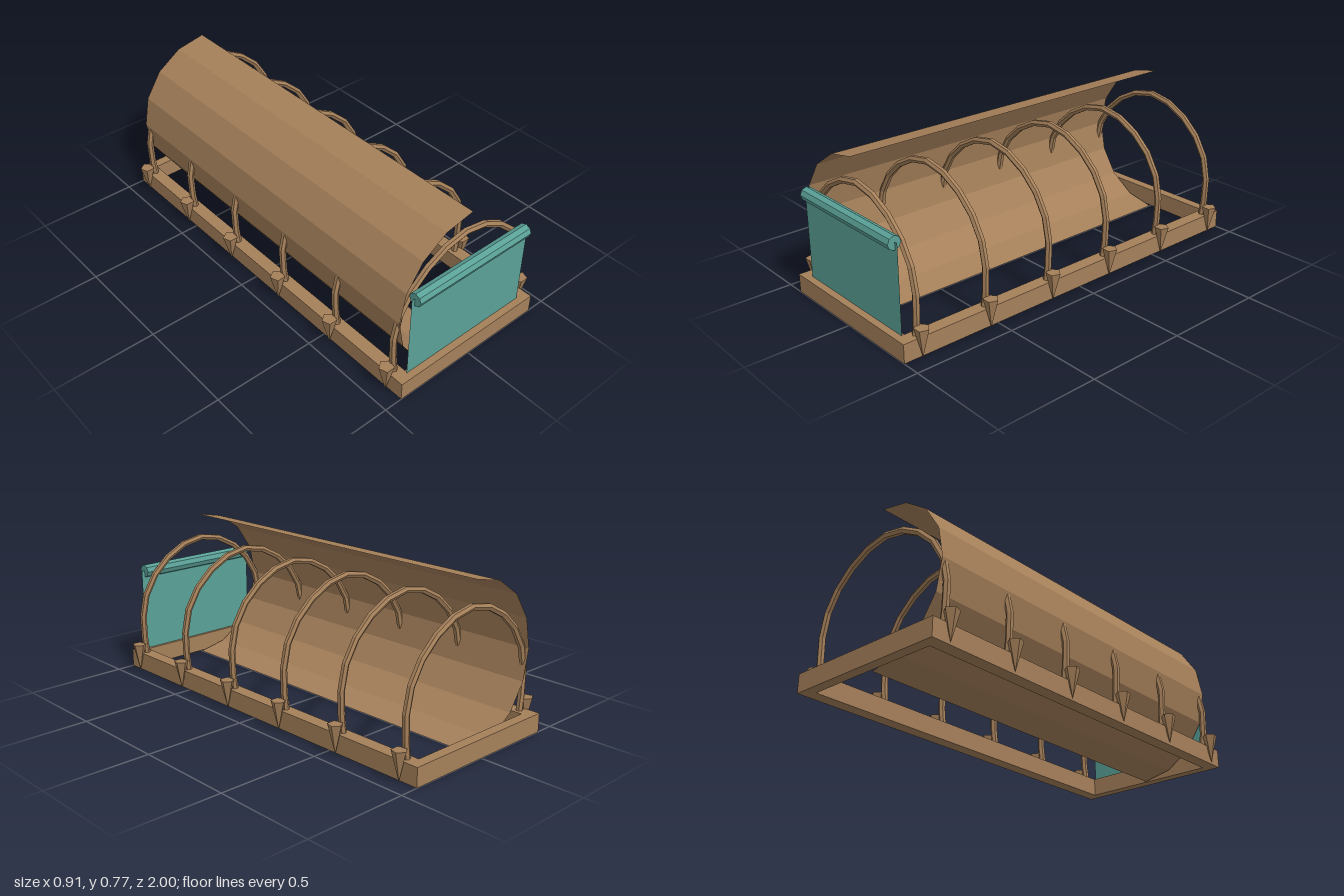
import * as THREE from 'three';

const wood = new THREE.MeshStandardMaterial({ color: 0xa5805a, flatShading: true });
const canvas = new THREE.MeshStandardMaterial({ color: 0xa5805a, flatShading: true, side: THREE.DoubleSide });
const teal = new THREE.MeshStandardMaterial({ color: 0x5aa197, flatShading: true, side: THREE.DoubleSide });

function add(parent, name, geometry, material, x = 0, y = 0, z = 0) {
  const mesh = new THREE.Mesh(geometry, material);
  mesh.name = name;
  mesh.position.set(x, y, z);
  parent.add(mesh);
  return mesh;
}

export function createModel() {
  const model = new THREE.Group();
  model.name = 'hoopTunnel';

  // Base frame: rectangle with a cut-out, laid flat
  const outline = new THREE.Shape();
  outline.moveTo(-0.41, -1).lineTo(0.41, -1).lineTo(0.41, 1).lineTo(-0.41, 1).closePath();
  const opening = new THREE.Path();
  opening.moveTo(-0.345, -0.95).lineTo(-0.345, 0.95).lineTo(0.345, 0.95).lineTo(0.345, -0.95).closePath();
  outline.holes.push(opening);
  const frame = new THREE.ExtrudeGeometry(outline, { depth: 0.09, bevelEnabled: false });
  frame.rotateX(-Math.PI / 2);
  add(model, 'baseFrame', frame, wood);

  // Hoops, each held by a pointed stake on either side
  const half = [[0.372, 0.05], [0.386, 0.17], [0.388, 0.288], [0.36, 0.405], [0.295, 0.505], [0.212, 0.577], [0.113, 0.628]];
  const mirrored = half.map(([x, y]) => [-x, y]).reverse();
  const points = [...half, [0, 0.649], ...mirrored].map(([x, y]) => new THREE.Vector3(x, y, 0));
  const hoop = new THREE.TubeGeometry(new THREE.CatmullRomCurve3(points), 14, 0.0165, 6);
  const stake = new THREE.ConeGeometry(0.036, 0.14, 5);
  stake.rotateX(Math.PI);
  for (let i = 0; i < 6; i++) {
    const z = 0.914 - i * 0.3656;
    add(model, 'hoop', hoop, wood, 0, 0, z);
    for (const side of [-1, 1]) add(model, 'stake', stake, wood, side * 0.422, 0.072, z);
  }

  // Cover: half cylinder over the right side, open towards the left
  const cover = new THREE.CylinderGeometry(0.385, 0.385, 1.88, 8, 1, true, Math.PI, Math.PI);
  cover.rotateX(Math.PI / 2);
  add(model, 'cover', cover, canvas, 0, 0.385, 0);

  // Front flap hanging from its roller
  add(model, 'frontFlap', new THREE.PlaneGeometry(0.7, 0.43), teal, 0, 0.297, 0.965);
  const roller = new THREE.CylinderGeometry(0.033, 0.033, 0.666, 8);
  roller.rotateZ(Math.PI / 2);
  add(model, 'flapRoller', roller, teal, 0, 0.508, 0.967);

  return model;
}
